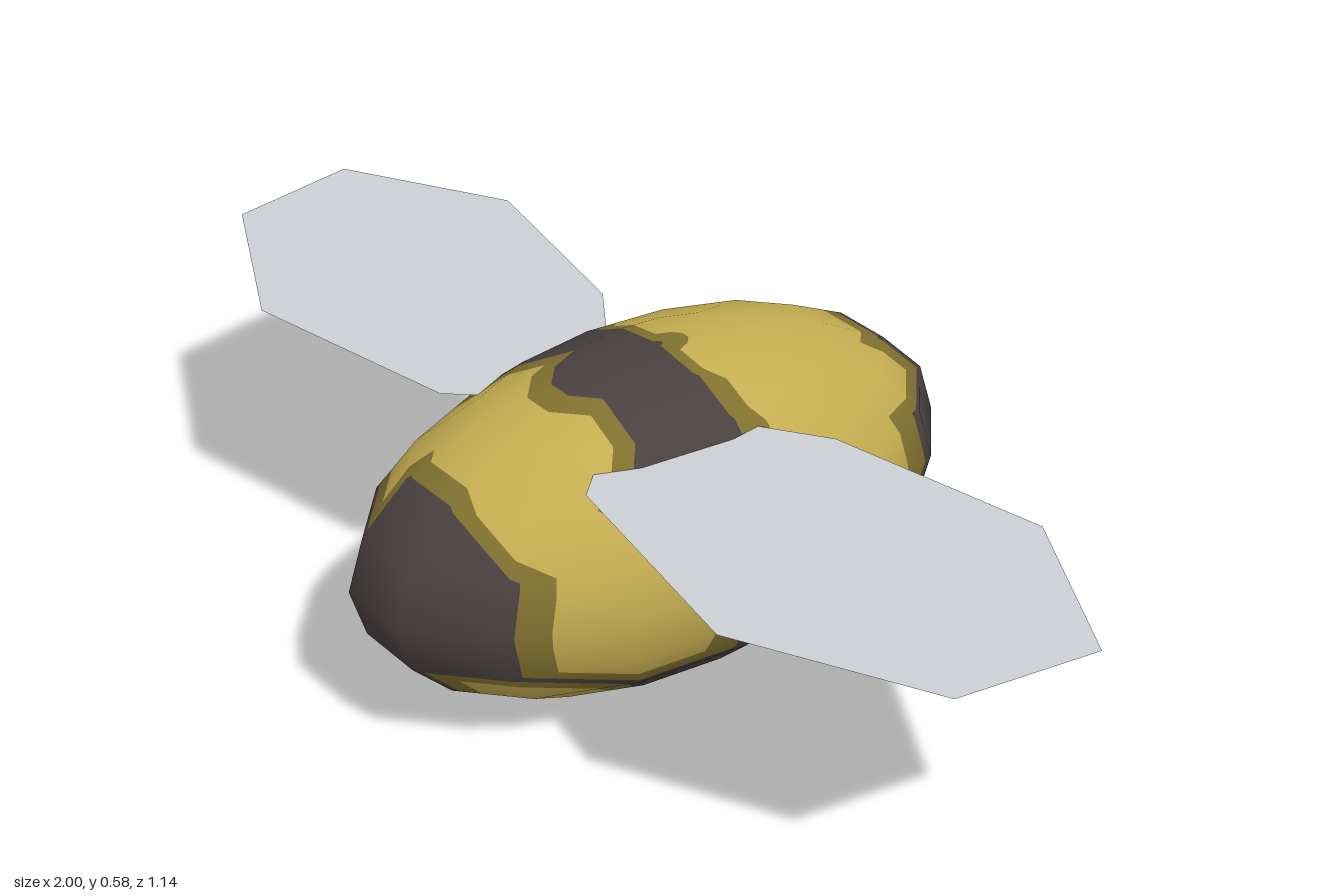
import * as THREE from 'three';

const mat = (name, color, side = THREE.FrontSide) => {
  const m = new THREE.MeshStandardMaterial({ color, side });
  m.name = name;
  return m;
};

// Keeps the part of a polygon whose value v is on one side of a limit
function clip(poly, limit, sign) {
  const out = [];
  poly.forEach((p, i) => {
    const q = poly[(i + 1) % poly.length];
    const dp = sign * (p.v - limit), dq = sign * (q.v - limit);
    if (dp >= 0) out.push(p);
    if (dp * dq < 0) {
      const t = dp / (dp - dq);
      out.push({
        v: limit,
        pos: p.pos.clone().lerp(q.pos, t),
        nor: p.nor.clone().lerp(q.nor, t).normalize(),
      });
    }
  });
  return out;
}

// The part of a surface whose blend value lies between lo and hi
function bandGeometry(source, value, lo, hi) {
  const { position, normal } = source.attributes;
  const pos = [], nor = [];
  const corner = (i) => {
    const p = new THREE.Vector3().fromBufferAttribute(position, i);
    return { pos: p, nor: new THREE.Vector3().fromBufferAttribute(normal, i), v: value(p) };
  };
  for (let i = 0; i < source.index.count; i += 3) {
    const tri = [0, 1, 2].map((k) => corner(source.index.getX(i + k)));
    const poly = clip(clip(tri, lo, 1), hi, -1);
    for (let k = 1; k + 1 < poly.length; k++) {
      for (const c of [poly[0], poly[k], poly[k + 1]]) {
        pos.push(...c.pos.toArray());
        nor.push(...c.nor.toArray());
      }
    }
  }
  const g = new THREE.BufferGeometry();
  g.setAttribute('position', new THREE.Float32BufferAttribute(pos, 3));
  g.setAttribute('normal', new THREE.Float32BufferAttribute(nor, 3));
  return g;
}

export function createModel() {
  const model = new THREE.Group();
  model.name = 'bee';

  // Body: a stretched sphere, dark at both ends and around the middle
  const body = new THREE.Group();
  body.name = 'body';
  body.position.y = 0.293;
  const shell = new THREE.SphereGeometry(1, 14, 10).scale(0.31, 0.292, 0.583);
  const fur = (p) => (Math.abs(p.z) > 0.425 || (p.z > -0.01 && p.z < 0.215) ? 0 : 1);
  const bands = [
    ['darkStripes', mat('dark brown', 0x4a4040), -1, 0.1],
    ['stripeEdges', mat('olive', 0x80702f), 0.1, 0.38],
    ['yellowFur', mat('yellow', 0xc4ac50), 0.38, 2],
  ];
  for (const [name, material, lo, hi] of bands) {
    const mesh = new THREE.Mesh(bandGeometry(shell, fur, lo, hi), material);
    mesh.name = name;
    body.add(mesh);
  }
  model.add(body);

  // Wings: flat eight-sided sheets, mirrored left and right
  const wingMaterial = mat('pale grey', 0xcbced4, THREE.DoubleSide);
  const outline = [
    [0.10, 0.18], [0.20, 0.29], [0.625, 0.37], [0.957, 0.205],
    [1.0, -0.045], [0.705, -0.21], [0.31, -0.13], [0.12, 0.0],
  ];
  for (const [name, side] of [['leftWing', 1], ['rightWing', -1]]) {
    const shape = new THREE.Shape(outline.map(([x, z]) => new THREE.Vector2(side * x, -z)));
    const wing = new THREE.Mesh(new THREE.ShapeGeometry(shape).rotateX(-Math.PI / 2), wingMaterial);
    wing.name = name;
    wing.position.y = 0.503;
    model.add(wing);
  }
  return model;
}
